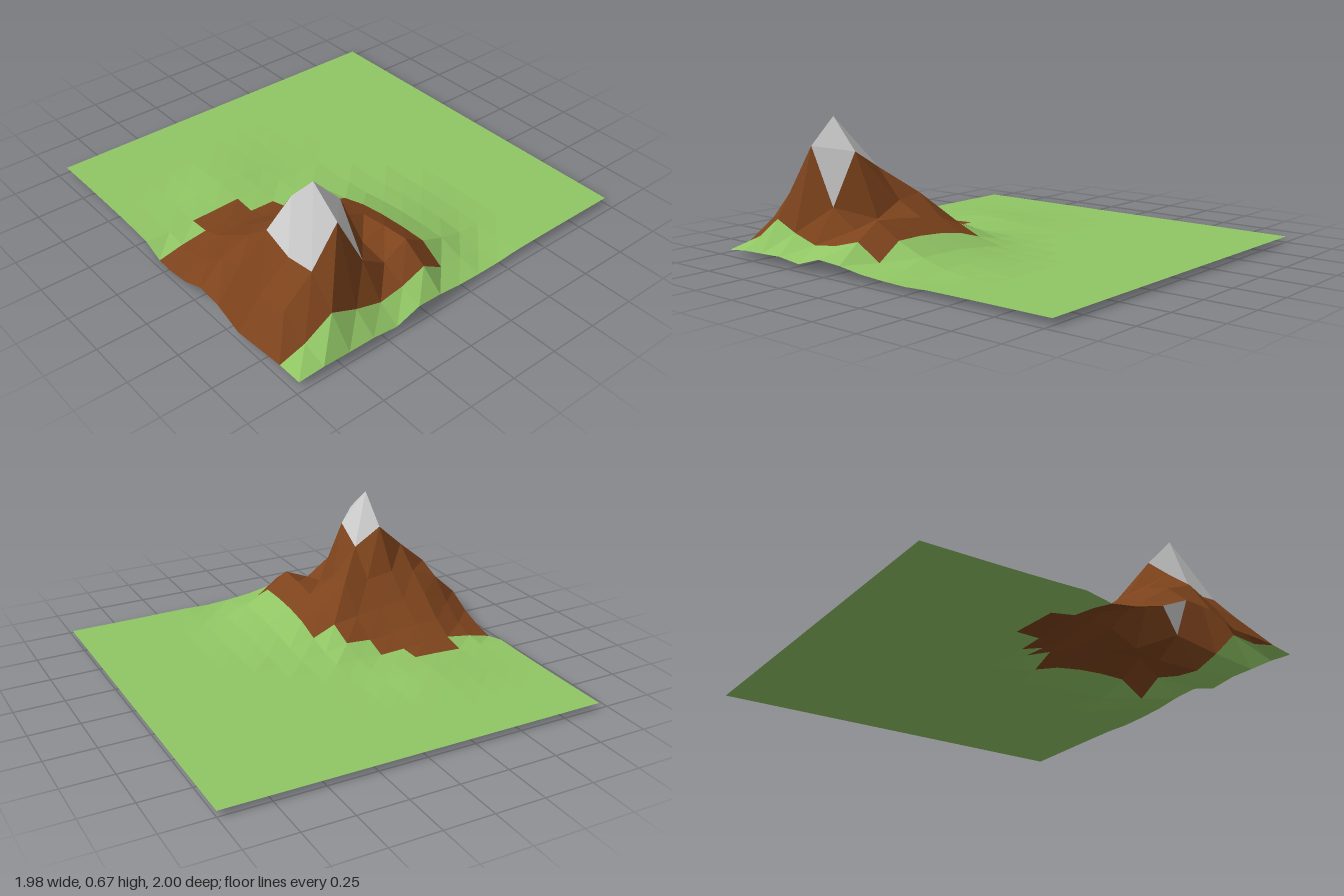
import * as THREE from 'three';

const CELLS = 15, STEP = 0.13, BASE = 0.03;

// Sculpted heights (hundredths), columns 7 to 15, one string per row from row 5 to row 15
const HEIGHTS = [
  '3 3 3 3.5 4 4 3.5 3 3',
  '3 3 4 5 6 6 5 3 2.5',
  '3 4 5 7 8.5 9 9 5 3',
  '4 5 8 12 14 15 15 7 4',
  '4 8 13 18 20 22 23 15 6',
  '3.5 7 15 29 27 20 17 11.5 7',
  '4 8 17 28 42 51 26 10 3',
  '5 10 19 30 51 67 54 14 4.5',
  '5 10 19 28 39 33 34 19 4',
  '3 5 12 22 27 20 19 9 3.5',
  '0 1.5 5 11 10 4 4 3.5 2',
].map(row => row.split(' ').map(v => v / 100));

// Outward stretch of the grid around the mountain
const SHIFT_X = [0.02, 0.01, 0, 0.01, 0.02, 0.03, 0.05, 0.07, 0.06, 0.035]; // from column 6
const SHIFT_Z = [0.01, 0, 0.01, 0.02, 0.04, 0.045, 0.06, 0.05];            // from row 8

// First rock column of each row of cells from row 8 on; rock ends at column 13
const ROCK_START = [9, 8, 7, 6, 6, 7, 7];

function gridPoint(col, row) {
  const x = -1 + col * STEP, z = -1 + row * STEP;
  const swell = 0.025 * Math.exp(-((x + 0.37) ** 2) / 0.04 - ((z - 0.4) ** 2) / 0.06);
  const y = HEIGHTS[row - 5]?.[col - 7] ?? BASE + swell;
  const sx = (SHIFT_X[col - 6] ?? 0) * Math.exp(-(((z - 0.5) / 0.55) ** 2));
  const sz = (SHIFT_Z[row - 8] ?? 0) * Math.exp(-(((x - 0.4) / 0.5) ** 2));
  return [x + sx, y, z + sz];
}

function zoneOf(col, row) {
  if ((col === 11 || col === 12) && (row === 11 || row === 12)) return 'snowCap';
  if (row >= 8 && col >= ROCK_START[row - 8] && col <= 13) return 'mountainRock';
  return 'grassLand';
}

export function createModel() {
  const model = new THREE.Group();
  model.name = 'mountainTerrain';
  const zones = { grassLand: [], mountainRock: [], snowCap: [] };

  // Two triangles per cell, sorted by ground type
  for (let row = 0; row < CELLS; row++) {
    for (let col = 0; col < CELLS; col++) {
      const a = gridPoint(col, row), b = gridPoint(col, row + 1);
      const c = gridPoint(col + 1, row + 1), d = gridPoint(col + 1, row);
      zones[zoneOf(col, row)].push(...a, ...b, ...c, ...a, ...c, ...d);
    }
  }

  const colors = { grassLand: 0x90c564, mountainRock: 0x7d431c, snowCap: 0xcccccc };
  for (const [name, positions] of Object.entries(zones)) {
    const geometry = new THREE.BufferGeometry();
    geometry.setAttribute('position', new THREE.Float32BufferAttribute(positions, 3));
    geometry.computeVertexNormals();
    const material = new THREE.MeshStandardMaterial({
      color: colors[name], flatShading: true, side: THREE.DoubleSide,
    });
    const mesh = new THREE.Mesh(geometry, material);
    mesh.name = name;
    model.add(mesh);
  }
  return model;
}
